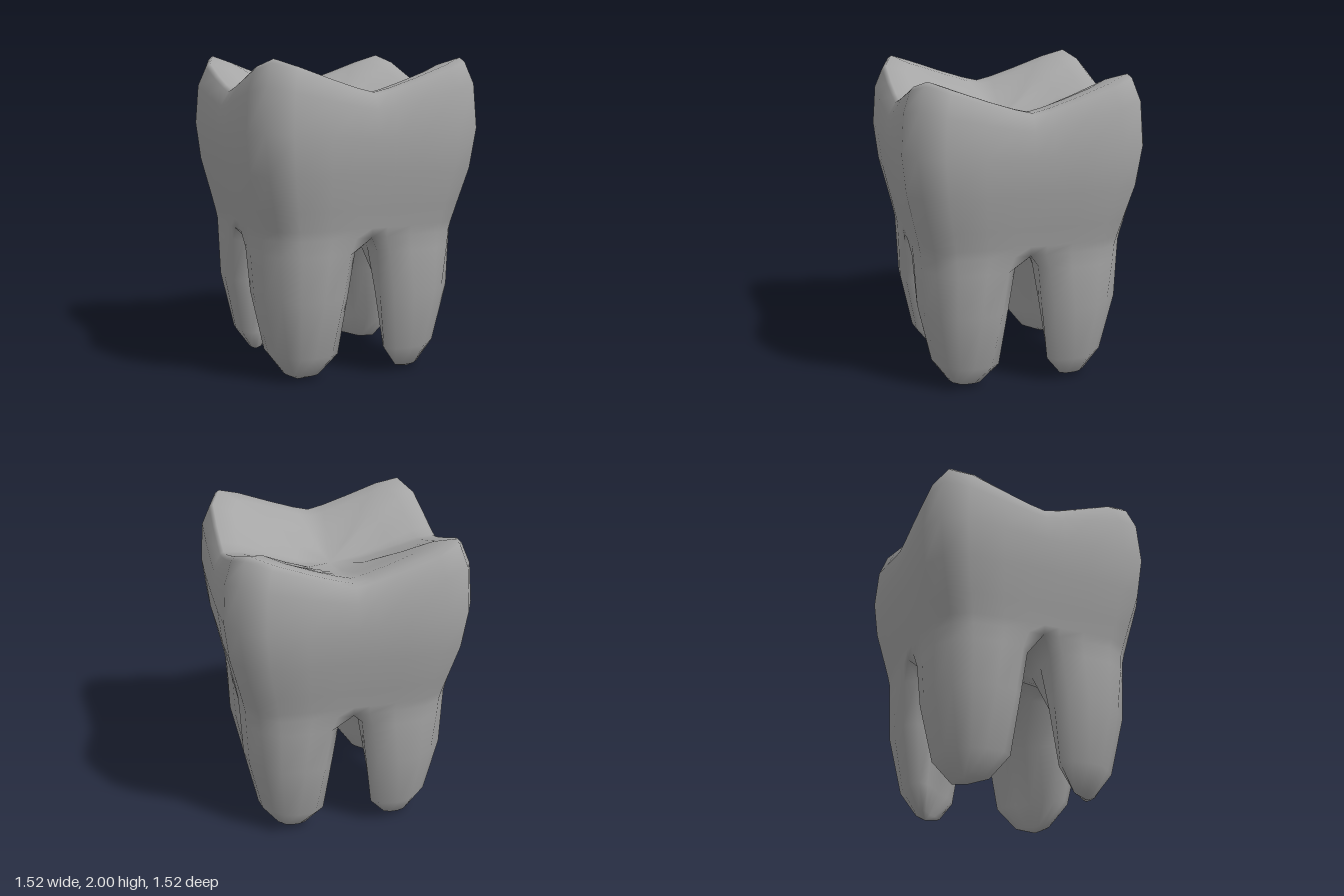
import * as THREE from 'three';
import { mergeVertices } from 'three/addons/utils/BufferGeometryUtils.js';

// Root sections for one quadrant, half of each loop: outer corner, round the side, to the inner corner.
// The other half mirrors across the diagonal.
const ROOT = [
  { y: 0.92, half: [[.57, .57], [.455, .64], [.26, .655], [.1, .655], [0, .655], [0, .4], [0, .15], [0, 0]] },
  { y: 0.82, half: [[.565, .565], [.45, .637], [.27, .65], [.13, .635], [.075, .57], [.075, .42], [.1, .24], [.16, .16]] },
  { y: 0.54, half: [[.543, .543], [.45, .625], [.3, .64], [.17, .62], [.11, .54], [.12, .44], [.19, .34], [.26, .26]] },
  { y: 0.17, half: [[.485, .485], [.42, .545], [.33, .56], [.22, .55], [.16, .5], [.18, .44], [.24, .38], [.32, .32]] },
  { y: 0.03, half: [[.42, .42], [.405, .44], [.36, .455], [.31, .455], [.27, .44], [.29, .41], [.32, .38], [.36, .36]] },
];
const TIP = [0.385, 0, 0.385];

// Crown rings: half width, height at the middle of a side, height at a corner, corner fullness
const CROWN = [
  [.655, .92, .92, 0], [.665, .98, .98, .005], [.69, 1.1, 1.1, .015], [.738, 1.32, 1.32, .03],
  [.76, 1.53, 1.57, .044], [.742, 1.7, 1.84, .044], [.695, 1.785, 1.975, .044], [.67, 1.8, 2, .044],
  [.56, 1.79, 1.955, .04], [.4, 1.745, 1.845, .02], [.2, 1.69, 1.725, 0],
];
const FLOOR = [0, 1.67, 0];

const swap = ([x, z]) => [z, x];
const turn = ([x, z], n) => (n ? turn([-z, x], n - 1) : [x, z]);

export function createModel() {
  const pos = [];
  const tri = (a, b, c) => pos.push(...a, ...b, ...c);
  const band = (upper, lower) => upper.forEach((a, i) => {
    const j = (i + 1) % upper.length;
    tri(a, upper[j], lower[j]);
    tri(a, lower[j], lower[i]);
  });

  // Crown: rounded square rings rising to four cusps, then dipping into the shallow bowl
  const top = ROOT[0].half;
  const quarter = [...top.slice(1, 5).reverse().map(swap), ...top.slice(0, 4)];
  const outline = [0, 1, 2, 3].flatMap(n => quarter.map(p => turn(p, n)));
  const rings = CROWN.map(([w, mid, corner, full]) => outline.map(([x, z]) => {
    const k = Math.min(Math.abs(x), Math.abs(z)) / top[0][0];
    const s = w / .655 * (1 + full * k ** 4);
    return [x * s, mid + (corner - mid) * k ** 1.2, z * s];
  }));
  for (let i = 1; i < rings.length; i++) band(rings[i], rings[i - 1]);
  const last = rings[rings.length - 1];
  last.forEach((p, i) => tri(FLOOR, last[(i + 1) % last.length], p));
  const crownCount = pos.length / 3;

  // Roots: the same tapering loops turned into each quadrant
  for (let n = 0; n < 4; n++) {
    const loops = ROOT.map(({ y, half }) =>
      [...half, ...half.slice(1, 7).reverse().map(swap)].map(p => {
        const [x, z] = turn(p, n);
        return [x, y, z];
      }));
    for (let i = 1; i < loops.length; i++) band(loops[i - 1], loops[i]);
    const end = loops[loops.length - 1];
    const [tx, tz] = turn([TIP[0], TIP[2]], n);
    end.forEach((p, i) => tri(p, end[(i + 1) % end.length], [tx, TIP[1], tz]));
  }

  // Smooth normals across the whole tooth, then split into crown and roots
  let whole = new THREE.BufferGeometry();
  whole.setAttribute('position', new THREE.Float32BufferAttribute(pos, 3));
  whole = mergeVertices(whole, 1e-4);
  whole.computeVertexNormals();
  const index = Array.from(whole.index.array);

  const enamel = new THREE.MeshStandardMaterial({ color: 0xa6a6a6 });
  enamel.name = 'grey enamel';
  const group = new THREE.Group();
  group.name = 'tooth';
  const addPart = (name, from, to) => {
    const part = whole.clone();
    part.setIndex(index.slice(from, to));
    const mesh = new THREE.Mesh(part.toNonIndexed(), enamel);
    mesh.name = name;
    group.add(mesh);
  };
  addPart('crown', 0, crownCount);
  const rootCount = (index.length - crownCount) / 4;
  ['frontLeftRoot', 'frontRightRoot', 'backRightRoot', 'backLeftRoot'].forEach((name, n) =>
    addPart(name, crownCount + n * rootCount, crownCount + (n + 1) * rootCount));
  return group;
}
